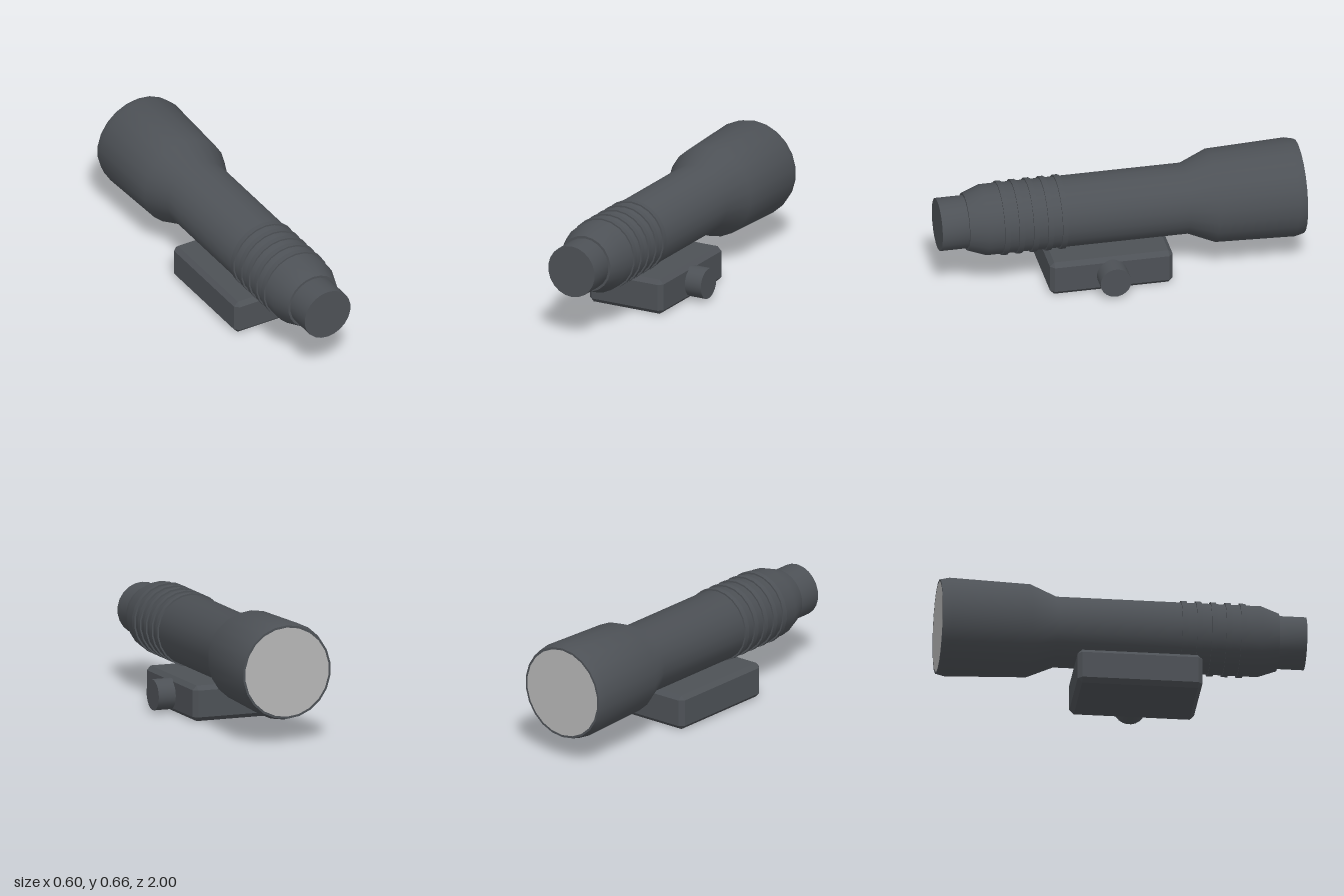
import * as THREE from 'three';
import { toCreasedNormals } from 'three/addons/utils/BufferGeometryUtils.js';
import { ConvexGeometry } from 'three/addons/geometries/ConvexGeometry.js';

const SIDES = 22;

// Box with all edges cut at 45 degrees
function chamferedBox(w, h, d, c) {
  const points = [];
  for (const sx of [-1, 1]) for (const sy of [-1, 1]) for (const sz of [-1, 1]) {
    const x = w / 2, y = h / 2, z = d / 2;
    points.push(
      new THREE.Vector3(sx * x, sy * (y - c), sz * (z - c)),
      new THREE.Vector3(sx * (x - c), sy * y, sz * (z - c)),
      new THREE.Vector3(sx * (x - c), sy * (y - c), sz * z),
    );
  }
  return new ConvexGeometry(points);
}

export function createModel() {
  const model = new THREE.Group();
  model.name = 'weaponLight';
  const dark = new THREE.MeshStandardMaterial({ color: 0x4d5156 });
  dark.name = 'dark grey';
  const pale = new THREE.MeshStandardMaterial({ color: 0xb6b6b6 });
  pale.name = 'lens grey';

  const add = (name, geometry, material, parent = model) => {
    const mesh = new THREE.Mesh(geometry, material);
    mesh.name = name;
    parent.add(mesh);
    return mesh;
  };

  // Torch tube, lying along z
  const torch = new THREE.Group();
  torch.name = 'torch';
  torch.position.set(-0.03, 0.39, 0);
  model.add(torch);

  // Turned body: [radius, z] from the lens rim to the tail
  const profile = [
    [0.246, -1], [0.258, -1], [0.27, -0.95], [0.255, -0.51], [0.194, -0.365],
    [0.194, 0.75], [0.158, 0.85], [0.145, 0.85], [0.145, 1],
  ].map(([r, z]) => new THREE.Vector2(r, z));
  const body = new THREE.LatheGeometry(profile, SIDES).rotateX(Math.PI / 2);
  add('body', toCreasedNormals(body, Math.PI / 6), dark, torch);

  // End faces
  const tail = new THREE.CircleGeometry(0.145, SIDES, Math.PI / 2);
  add('tailCap', tail, dark, torch).position.z = 1;
  const lens = new THREE.CircleGeometry(0.246, SIDES, Math.PI / 2).rotateY(Math.PI);
  add('lens', lens, pale, torch).position.z = -1;

  // Grip rings
  const ring = new THREE.CylinderGeometry(0.203, 0.203, 0.03, SIDES).rotateX(Math.PI / 2);
  for (let i = 0; i < 5; i++) {
    add('gripRing', ring, dark, torch).position.z = 0.33 + i * 0.08;
  }

  // Mount block under the tube, with its clamp knob on the left
  add('mountBlock', chamferedBox(0.46, 0.196, 0.68, 0.024), dark).position.set(-0.03, 0.098, 0.08);
  const knob = new THREE.CylinderGeometry(0.085, 0.085, 0.12, SIDES).rotateZ(-Math.PI / 2);
  add('clampKnob', knob, dark).position.set(0.24, 0.099, 0.08);

  return model;
}
